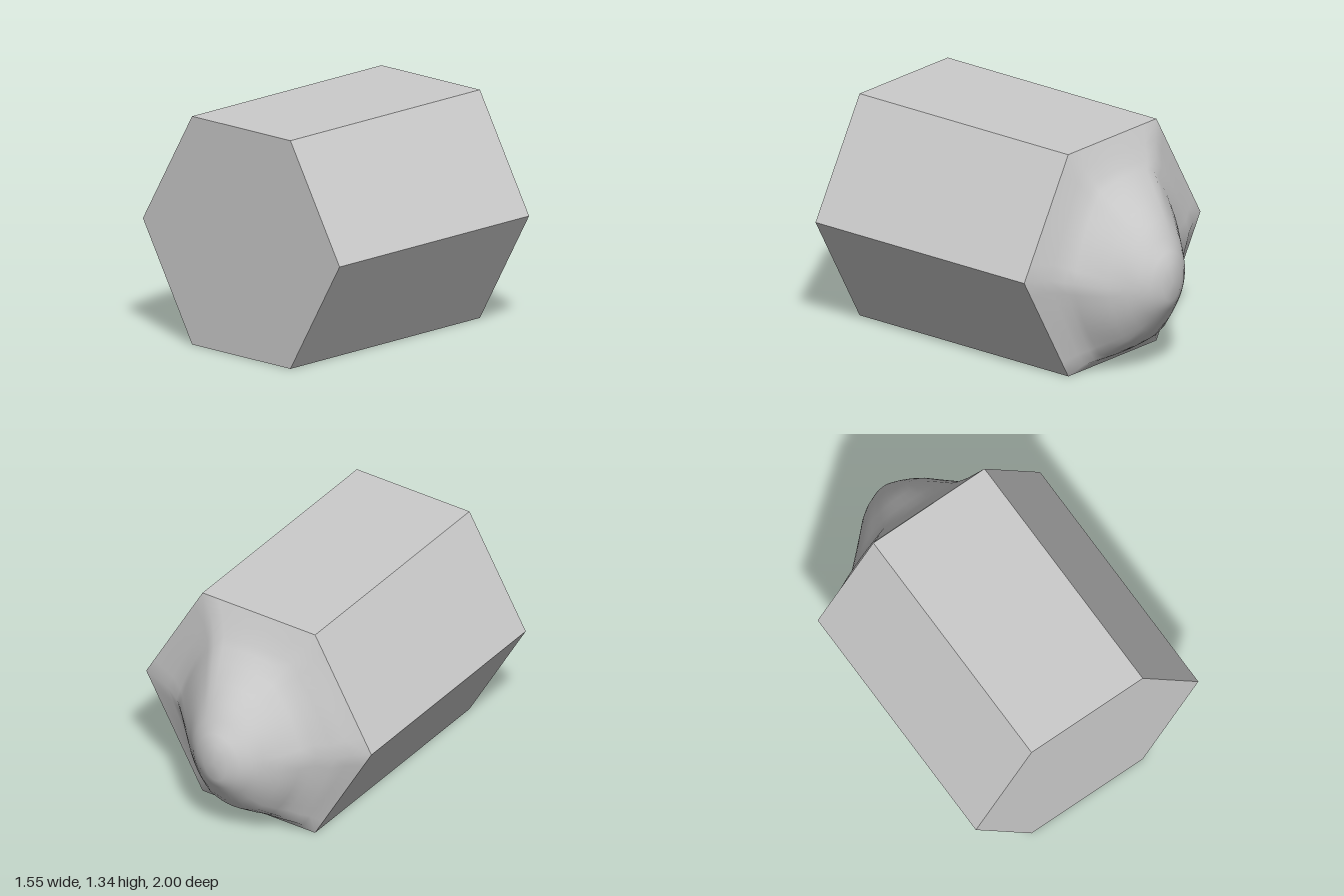
import * as THREE from 'three';

const RADIUS = 0.773, HEIGHT = 1.34, BACK = -0.55;

// Point on a section that blends from a unit hexagon (round = 0) to a circle (round = 1)
function sectionPoint(angle, round) {
  const sector = Math.PI / 3;
  const a = ((angle % sector) + sector) % sector - sector / 2;
  const hex = Math.cos(sector / 2) / Math.cos(a);
  const x = Math.cos(angle), y = Math.sin(angle);
  return [
    THREE.MathUtils.lerp(hex * x, x, round),
    THREE.MathUtils.lerp((hex * y) / Math.cos(sector / 2), y, round),
  ];
}

// Smooth cap lofted through sections: [z, -x extent, +x extent, bottom, top, roundness]
function loft(rings, segments) {
  const positions = [], index = [];
  for (const [z, left, right, bottom, top, round] of rings) {
    for (let j = 0; j < segments; j++) {
      const [x, y] = sectionPoint((j / segments) * Math.PI * 2, round);
      positions.push(x * (x < 0 ? left : right), (bottom + top) / 2 + (y * (top - bottom)) / 2, z);
    }
  }
  for (let i = 0; i < rings.length - 1; i++) {
    for (let j = 0; j < segments; j++) {
      const k = (j + 1) % segments;
      const a = i * segments + j, b = i * segments + k;
      const c = a + segments, d = b + segments;
      index.push(a, c, b, b, c, d);
    }
  }
  // Close the tip
  const last = (rings.length - 1) * segments;
  const [, , , bottom, top] = rings[rings.length - 1];
  positions.push(0, (bottom + top) / 2, -1);
  const tip = last + segments;
  for (let j = 0; j < segments; j++) index.push(last + j, tip, last + ((j + 1) % segments));

  const geometry = new THREE.BufferGeometry();
  geometry.setAttribute('position', new THREE.Float32BufferAttribute(positions, 3));
  geometry.setIndex(index);
  geometry.computeVertexNormals();
  return geometry;
}

export function createModel() {
  const group = new THREE.Group();

  // Hexagonal shaft along z, corners pointing sideways
  const length = 1 - BACK;
  const shaftGeometry = new THREE.CylinderGeometry(RADIUS, RADIUS, length, 6, 1, false, Math.PI / 2);
  shaftGeometry.rotateX(Math.PI / 2);
  const shaft = new THREE.Mesh(
    shaftGeometry,
    new THREE.MeshStandardMaterial({ color: 0xcccccc, flatShading: true })
  );
  shaft.name = 'hexagonalShaft';
  shaft.position.set(0, HEIGHT / 2, (1 + BACK) / 2);
  group.add(shaft);

  // Rounded, slightly lopsided nose on the back end
  const rings = [
    [BACK, RADIUS, RADIUS, 0, HEIGHT, 0],
    [-0.59, 0.66, 0.60, 0.04, 1.25, 0.15],
    [-0.63, 0.58, 0.51, 0.06, 1.175, 0.3],
    [-0.66, 0.47, 0.47, 0.08, 1.13, 0.45],
    [-0.72, 0.41, 0.41, 0.115, 1.065, 0.6],
    [-0.80, 0.325, 0.325, 0.17, 0.975, 0.8],
    [-0.87, 0.25, 0.25, 0.25, 0.9, 1],
    [-0.92, 0.2, 0.2, 0.33, 0.81, 1],
    [-0.96, 0.145, 0.145, 0.39, 0.74, 1],
    [-0.99, 0.08, 0.08, 0.45, 0.685, 1],
  ];
  const nose = new THREE.Mesh(
    loft(rings, 48),
    new THREE.MeshStandardMaterial({ color: 0xcccccc })
  );
  nose.name = 'roundedNose';
  group.add(nose);

  return group;
}
